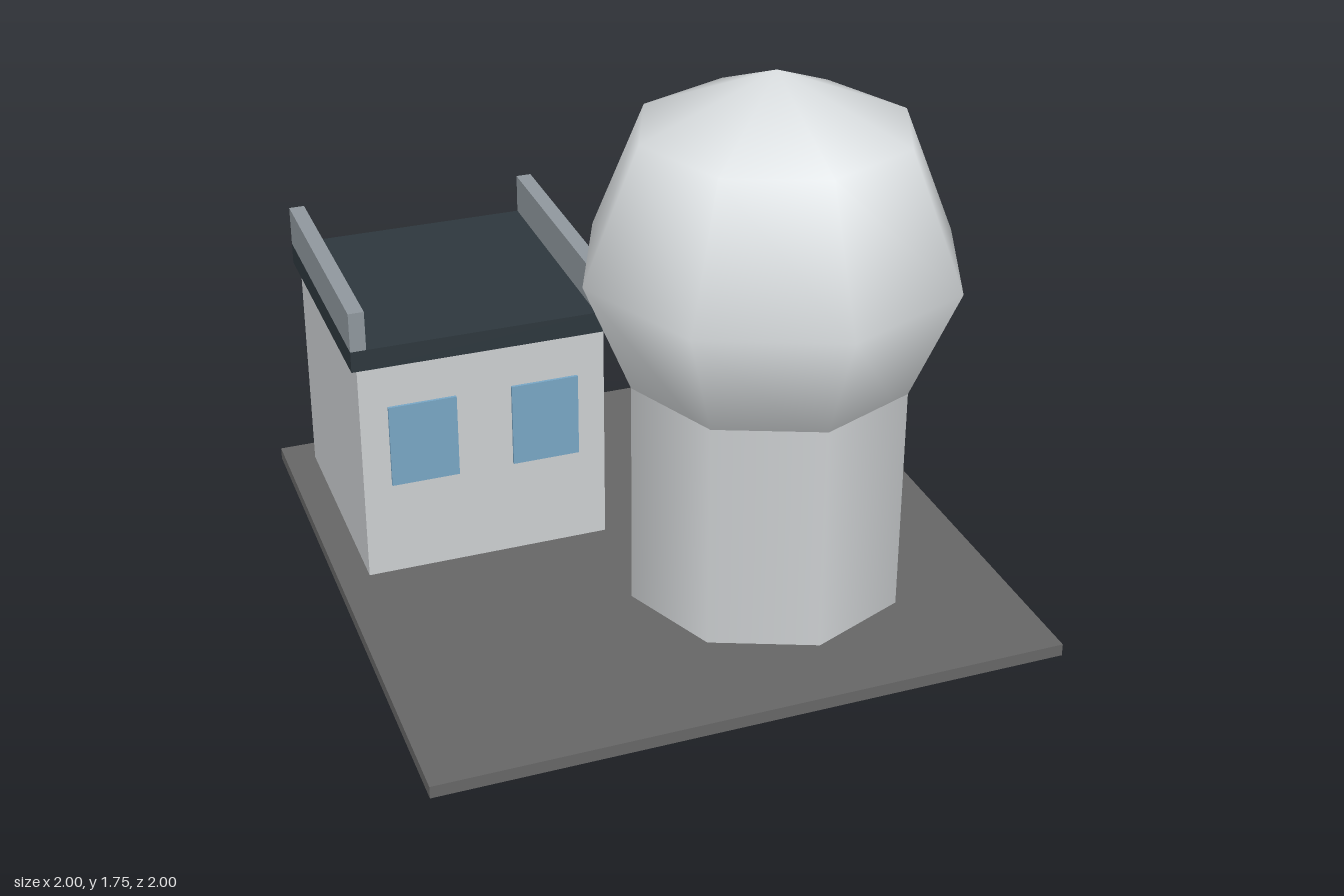
import * as THREE from 'three';

const paint = (name, color) => {
  const m = new THREE.MeshStandardMaterial({ color });
  m.name = name;
  return m;
};

export function createModel() {
  const asphalt = paint('asphalt grey', 0x666666);
  const wall = paint('wall grey', 0xcccfd1);
  const domeWhite = paint('dome white', 0xdce0e2);
  const roofDark = paint('dark roof', 0x2d373d);
  const trim = paint('parapet grey', 0x8f979d);
  const glass = paint('window blue', 0x78a6c4);

  const model = new THREE.Group();
  model.name = 'domeStation';
  const add = (name, geometry, material, x, y, z, parent = model) => {
    const mesh = new THREE.Mesh(geometry, material);
    mesh.name = name;
    mesh.position.set(x, y, z);
    parent.add(mesh);
    return mesh;
  };
  const box = (w, h, d) => new THREE.BoxGeometry(w, h, d);

  // Ground slab
  add('groundSlab', box(2, 0.04, 2), asphalt, 0, 0.02, 0);

  // Eight-sided tower carrying a coarse, smooth-shaded dome
  const tower = new THREE.Group();
  tower.name = 'tower';
  tower.position.set(0.3, 0, 0.3);
  model.add(tower);
  add('towerWall', new THREE.CylinderGeometry(0.45, 0.45, 0.75, 8), wall, 0, 0.415, 0, tower);
  add('dome', new THREE.SphereGeometry(0.6, 8, 4), domeWhite, 0, 1.15, 0, tower);

  // Square annex behind the tower, with an overhanging flat roof
  const annex = new THREE.Group();
  annex.name = 'annex';
  annex.position.set(-0.5, 0, -0.5);
  model.add(annex);
  add('annexWalls', box(0.8, 0.75, 0.8), wall, 0, 0.415, 0, annex);
  add('annexRoof', box(0.84, 0.07, 0.84), roofDark, 0, 0.825, 0, annex);

  // Parapets along both sides of the roof, and two front windows
  for (const side of [-1, 1]) {
    const label = side > 0 ? 'left' : 'right';
    add(label + 'Parapet', box(0.05, 0.13, 0.84), trim, side * 0.395, 0.925, 0, annex);
    add(label + 'Window', box(0.22, 0.28, 0.009), glass, side * 0.2, 0.5, 0.4045, annex);
  }

  return model;
}
